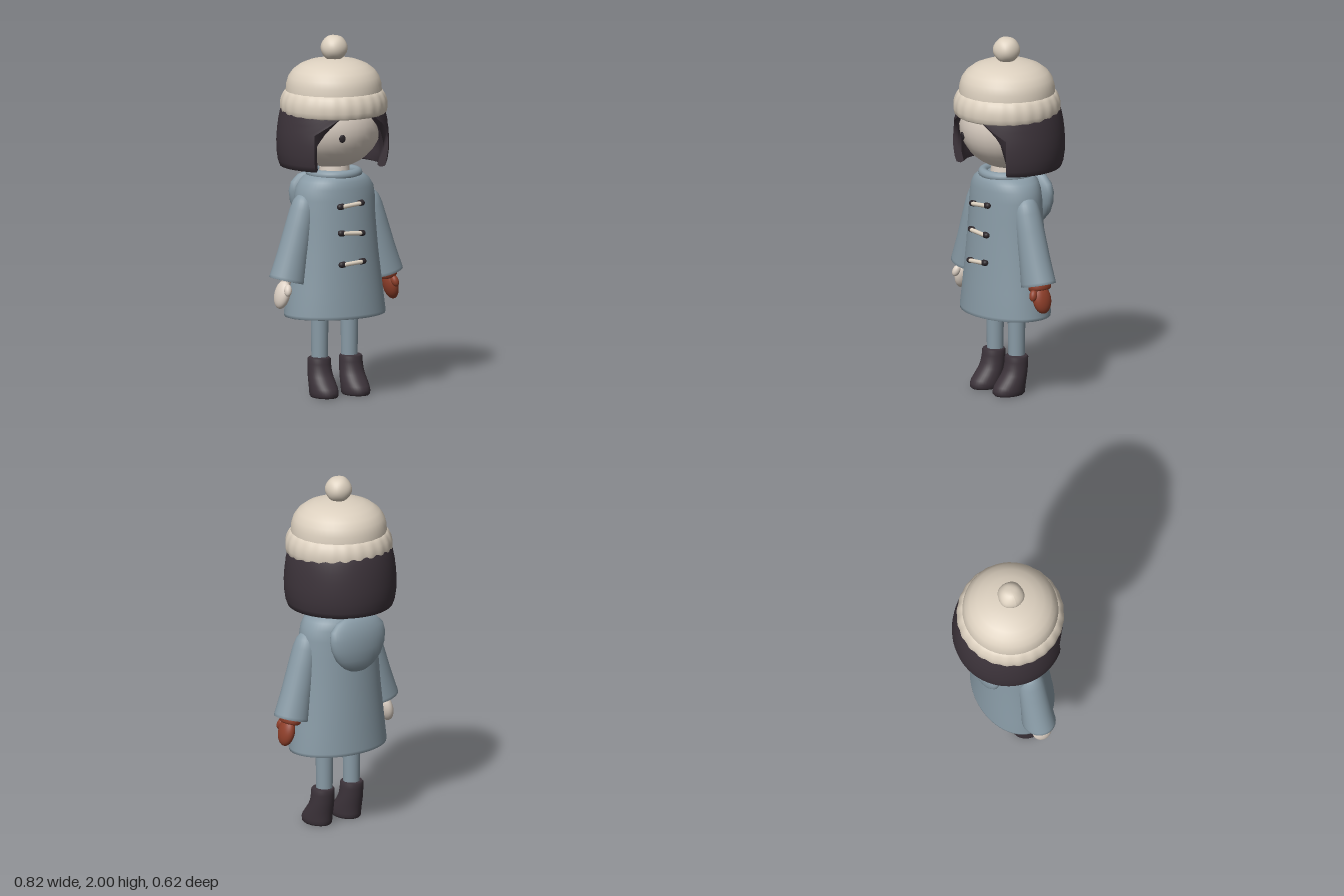
import * as THREE from 'three';

const mat = (name, color) => Object.assign(new THREE.MeshStandardMaterial({ color }), { name });

// Smooth surface through closed loops of points (repeat a loop for a sharp edge)
function skin(loops) {
  const n = loops[0].length, pos = [], idx = [];
  loops.forEach(l => l.forEach(p => pos.push(...p)));
  for (let i = 0; i < loops.length - 1; i++) {
    for (let j = 0; j < n; j++) {
      const a = i * n + j, b = i * n + (j + 1) % n, c = a + n, d = b + n;
      idx.push(a, b, c, b, d, c);
    }
  }
  const g = new THREE.BufferGeometry();
  g.setAttribute('position', new THREE.Float32BufferAttribute(pos, 3));
  g.setIndex(idx);
  g.computeVertexNormals();
  return g;
}

// Elliptical rings [y, rx, rz, cz], listed upward; rings listed downward form an inside
function loft(rings, seg = 40, ribs = 0, depth = 0) {
  return skin(rings.map(([y, rx, rz = rx, cz = 0]) => Array.from({ length: seg }, (_, j) => {
    const a = j / seg * Math.PI * 2, k = 1 + depth * Math.cos(a * ribs);
    return [rx * k * Math.sin(a), y, cz + rz * k * Math.cos(a)];
  })));
}

// Bob haircut: a thick shell swept round the head, with a fringe opening at the front
function hairGeometry() {
  const profile = [[0.25, 1.66], [0.25, 1.55], [0.262, 1.42], [0.262, 1.33], [0.25, 1.28], [0.268, 1.27], [0.29, 1.275],
    [0.301, 1.305], [0.309, 1.36], [0.31, 1.42], [0.306, 1.48], [0.3, 1.53], [0.29, 1.58], [0.268, 1.66]];
  const steps = 60;
  const row = t => profile.map(([r, y]) => {
    const open = 0.85 - 0.52 * THREE.MathUtils.smoothstep(y, 1.49, 1.57);
    const a = -open - t * (Math.PI * 2 - 2 * open);
    return [r * Math.sin(a), y, r * Math.cos(a)];
  });
  // End caps shrink each cross-section onto its middle line
  const cap = loop => loop.map((p, i) => {
    const q = loop[loop.length - 1 - i];
    return p.map((v, k) => (v + q[k]) / 2);
  });
  const rows = Array.from({ length: steps + 1 }, (_, i) => row(i / steps));
  return skin([cap(rows[0]), rows[0], ...rows, rows[steps], cap(rows[steps])]);
}

export function createModel() {
  const model = new THREE.Group();
  model.name = 'childInCoat';
  const coat = mat('coatBlue', 0x899ba6);
  const knit = mat('knitCream', 0xdcd0bf);
  const skinTone = mat('skin', 0xddd1c5);
  const dark = mat('hairAndBoots', 0x3c333a);
  const red = mat('mittenRust', 0x8f3f2a);
  const black = mat('eyeAndLoops', 0x2e282c);

  const add = (parent, name, geometry, material, x = 0, y = 0, z = 0) => {
    const m = new THREE.Mesh(geometry, material);
    m.name = name;
    m.position.set(x, y, z);
    parent.add(m);
    return m;
  };
  const ball = (rx, ry, rz) => new THREE.SphereGeometry(1, 32, 20).scale(rx, ry, rz);

  // Head
  add(model, 'head', ball(0.27, 0.255, 0.275), skinTone, 0, 1.515, 0);
  add(model, 'neck', new THREE.CylinderGeometry(0.08, 0.09, 0.16, 24), skinTone, 0, 1.23, 0.02);
  const eye = add(model, 'eye', ball(0.018, 0.023, 0.007), black, -0.085, 1.46, 0.256);
  eye.rotation.set(0.15, -0.31, 0);
  add(model, 'hair', hairGeometry(), dark);

  // Hat: dome, softly ribbed brim and pompom
  add(model, 'hatDome', loft([[1.6, 0.262], [1.68, 0.265], [1.73, 0.262], [1.77, 0.25], [1.805, 0.225],
    [1.835, 0.185], [1.855, 0.135], [1.867, 0.075], [1.871, 0]], 48), knit, 0, 0, 0.012);
  add(model, 'hatBrim', loft([[1.6, 0.255], [1.572, 0.265], [1.566, 0.28], [1.575, 0.289], [1.6, 0.294], [1.63, 0.294],
    [1.655, 0.288], [1.675, 0.279], [1.69, 0.269], [1.695, 0.258]], 144, 24, 0.006), knit, 0, 0, 0.012);
  const pompom = ball(0.073, 0.072, 0.073);
  const p = pompom.attributes.position;
  for (let i = 0; i < p.count; i++) {
    const x = p.getX(i), y = p.getY(i), z = p.getZ(i);
    const k = 1 + 0.04 * Math.sin(x * 60 + 1) * Math.cos(z * 55) * Math.cos(y * 40);
    p.setXYZ(i, x * k, y * k, z * k);
  }
  pompom.computeVertexNormals();
  add(model, 'pompom', pompom, knit, 0, 1.927, 0.015);

  // Coat, hollow below the hem
  add(model, 'coatBody', loft([
    [0.56, 0, 0, 0.022], [0.55, 0.16, 0.115, 0.022], [0.52, 0.235, 0.165, 0.022], [0.46, 0.277, 0.196, 0.022],
    [0.445, 0.286, 0.207, 0.023], [0.448, 0.295, 0.214, 0.023], [0.465, 0.297, 0.215, 0.023], [0.6, 0.28, 0.205, 0.022],
    [0.8, 0.256, 0.192, 0.02], [1.0, 0.24, 0.179, 0.02], [1.1, 0.237, 0.172, 0.02], [1.16, 0.226, 0.167, 0.02],
    [1.2, 0.2, 0.16, 0.02], [1.225, 0.165, 0.145, 0.02], [1.24, 0.11, 0.11, 0.02], [1.24, 0, 0, 0.02],
  ], 56), coat);
  const collar = new THREE.TorusGeometry(0.13, 0.026, 14, 48).rotateX(Math.PI / 2);
  add(model, 'collar', collar, coat, 0, 1.235, 0.015);
  add(model, 'hood', loft([[0.917, 0, 0, -0.16], [0.925, 0.05, 0.02, -0.162], [0.95, 0.098, 0.039, -0.163],
    [1.0, 0.148, 0.057, -0.162], [1.06, 0.176, 0.066, -0.159], [1.12, 0.186, 0.067, -0.155],
    [1.17, 0.176, 0.06, -0.15], [1.21, 0.136, 0.042, -0.147], [1.23, 0.075, 0.022, -0.145], [1.236, 0, 0, -0.145]]), coat);

  // Toggles: cream peg with dark loops at both ends
  [[1.078, 0.206, 0.1], [0.922, 0.215, -0.06], [0.757, 0.224, 0.08]].forEach(([y, z, tilt]) => {
    const toggle = new THREE.Group();
    toggle.name = 'toggle';
    toggle.position.set(0, y, z);
    toggle.rotation.z = tilt;
    add(toggle, 'peg', new THREE.CapsuleGeometry(0.012, 0.1, 6, 14).rotateZ(Math.PI / 2), knit, 0, 0, 0.004);
    for (const s of [-1, 1])
      add(toggle, 'loop', new THREE.CapsuleGeometry(0.017, 0.014, 6, 14).rotateZ(Math.PI / 2), black, s * 0.062, 0, -0.004);
    model.add(toggle);
  });

  for (const s of [-1, 1]) {
    const side = s > 0 ? 'left' : 'right';

    // Arm: flared open sleeve, with a mitten on the left and a bare hand on the right
    const arm = new THREE.Group();
    arm.name = side + 'Arm';
    arm.position.set(s * 0.2, 1.09, 0.037);
    arm.rotation.z = s * 0.245;
    model.add(arm);
    add(arm, 'sleeve', loft([
      [-0.4, 0], [-0.4, 0.07, 0.066], [-0.436, 0.09, 0.079], [-0.447, 0.098, 0.086],
      [-0.446, 0.105, 0.092], [-0.43, 0.104, 0.091], [-0.3, 0.089, 0.084], [-0.15, 0.078, 0.079], [-0.05, 0.07, 0.074],
      [0, 0.06, 0.063], [0.025, 0.045, 0.046], [0.04, 0.022, 0.024], [0.044, 0],
    ], 28), coat);
    const handMat = s > 0 ? red : skinTone;
    add(arm, 'hand', ball(0.038, 0.08, 0.057), handMat, s * 0.015, -0.526, 0.003);
    const thumb = add(arm, 'thumb', ball(0.021, 0.034, 0.022), handMat, s * 0.018, -0.496, 0.06);
    thumb.rotation.x = -0.35;
    if (s > 0) add(arm, 'mittenCuff', loft([[-0.476, 0], [-0.476, 0.045, 0.055], [-0.468, 0.054, 0.066],
      [-0.45, 0.055, 0.067], [-0.39, 0.052, 0.062], [-0.39, 0]], 28), red, 0.008);
    else add(arm, 'wrist', new THREE.CylinderGeometry(0.03, 0.027, 0.12, 20), skinTone, s * 0.008, -0.44, 0);

    // Leg and boot
    add(model, side + 'Leg', new THREE.CylinderGeometry(0.052, 0.045, 0.45, 28), coat, s * 0.094, 0.405, 0.02);
    add(model, side + 'Boot', loft([
      [0, 0, 0, 0.075], [0, 0.066, 0.088, 0.078], [0.01, 0.074, 0.097, 0.079], [0.03, 0.075, 0.098, 0.078],
      [0.05, 0.075, 0.094, 0.072], [0.08, 0.073, 0.083, 0.057], [0.11, 0.07, 0.073, 0.042], [0.14, 0.067, 0.067, 0.032],
      [0.18, 0.065, 0.065, 0.026], [0.207, 0.064, 0.065, 0.025], [0.216, 0.057, 0.058, 0.025], [0.216, 0, 0, 0.025],
    ], 36), dark, s * 0.1);
  }
  return model;
}
